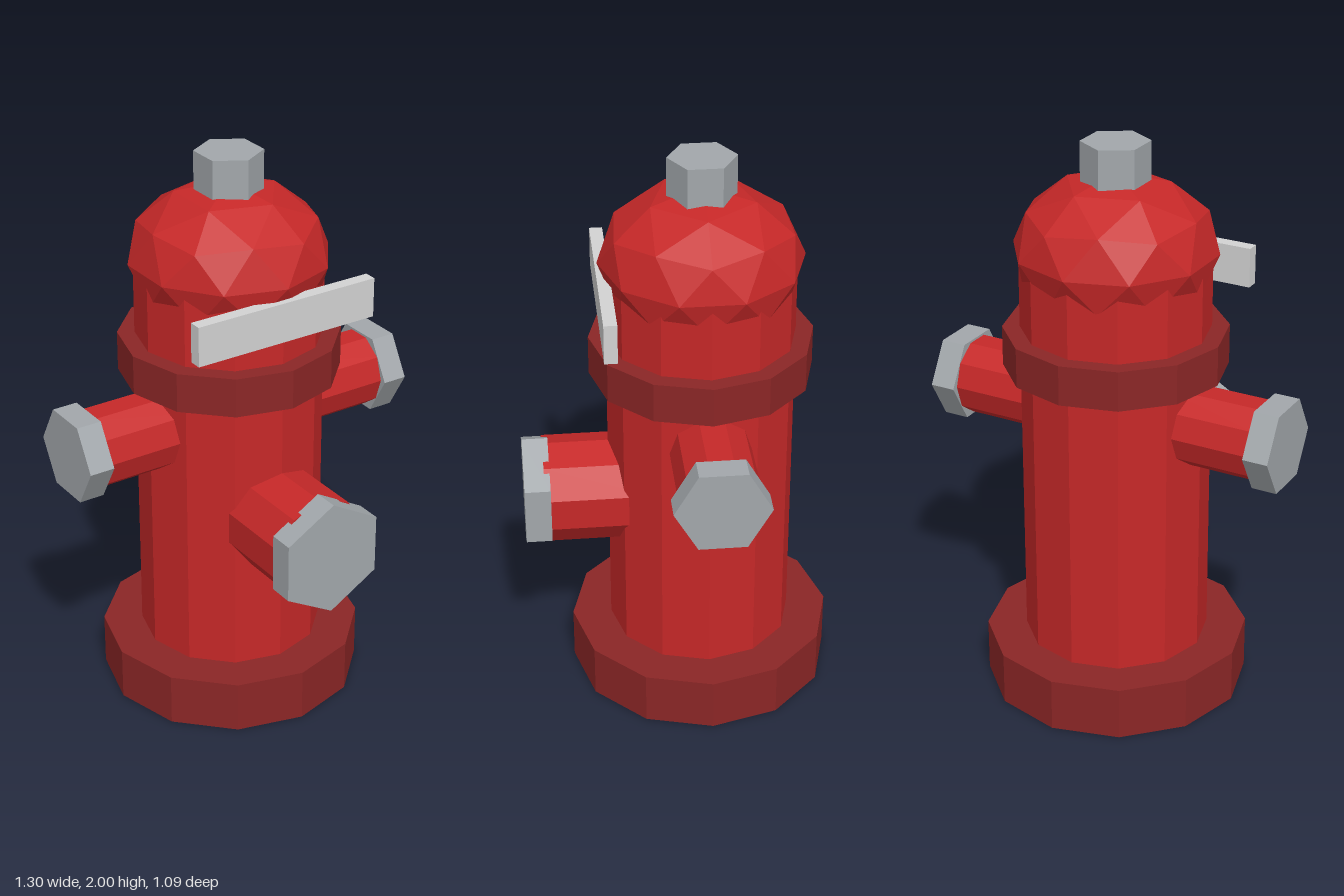
import * as THREE from 'three';

const mat = (name, color) => {
  const m = new THREE.MeshStandardMaterial({ color, flatShading: true });
  m.name = name;
  return m;
};

export function createModel() {
  const red = mat('red paint', 0xc62828);
  const darkRed = mat('dark red paint', 0x8b2626);
  const steel = mat('steel', 0xa2a7ab);
  const pale = mat('pale grey', 0xd2d2d2);

  const model = new THREE.Group();
  model.name = 'hydrant';
  const axisZ = -0.08; // the barrel stands slightly behind the centre

  const add = (name, geometry, material, x, y, z) => {
    const mesh = new THREE.Mesh(geometry, material);
    mesh.name = name;
    mesh.position.set(x, y, z);
    model.add(mesh);
    return mesh;
  };

  // Upright prism from y0 to y1
  const upright = (name, r, y0, y1, sides, material) =>
    add(name, new THREE.CylinderGeometry(r, r, y1 - y0, sides), material, 0, (y0 + y1) / 2, axisZ);

  upright('base', 0.465, 0, 0.19, 12, darkRed);
  upright('barrel', 0.325, 0.18, 1.6, 12, red);
  upright('collar', 0.385, 1.21, 1.35, 12, darkRed);
  upright('topNut', 0.117, 1.8, 2, 6, steel);

  // Faceted dome: icosphere turned so that a corner points up, then flattened
  const dome = new THREE.IcosahedronGeometry(1, 1);
  dome.rotateZ(-Math.atan(2 / (1 + Math.sqrt(5))));
  dome.scale(0.35, 0.262, 0.35);
  add('dome', dome, red, 0, 1.63, axisZ);

  // Side outlets with hexagonal caps
  for (const s of [1, -1]) {
    const side = s > 0 ? 'left' : 'right';
    const lying = (r, x0, x1, sides) => new THREE.CylinderGeometry(r, r, x1 - x0, sides).rotateZ(Math.PI / 2);
    add(side + 'Outlet', lying(0.139, 0.2, 0.58, 10), red, s * 0.39, 1.05, -0.083);
    add(side + 'Cap', lying(0.162, 0.56, 0.65, 6), steel, s * 0.605, 1.05, -0.083);
  }

  // Large front outlet and its cap
  const forward = (r, z0, z1, sides) => new THREE.CylinderGeometry(r, r, z1 - z0, sides).rotateX(Math.PI / 2);
  add('frontOutlet', forward(0.187, 0.1, 0.475, 10), red, 0, 0.747, 0.2875);
  add('frontCap', forward(0.207, 0.455, 0.545, 6), steel, 0, 0.747, 0.5);

  // Flat plate across the front
  add('frontPlate', new THREE.BoxGeometry(0.695, 0.14, 0.045), pale, 0, 1.515, 0.25);

  return model;
}
